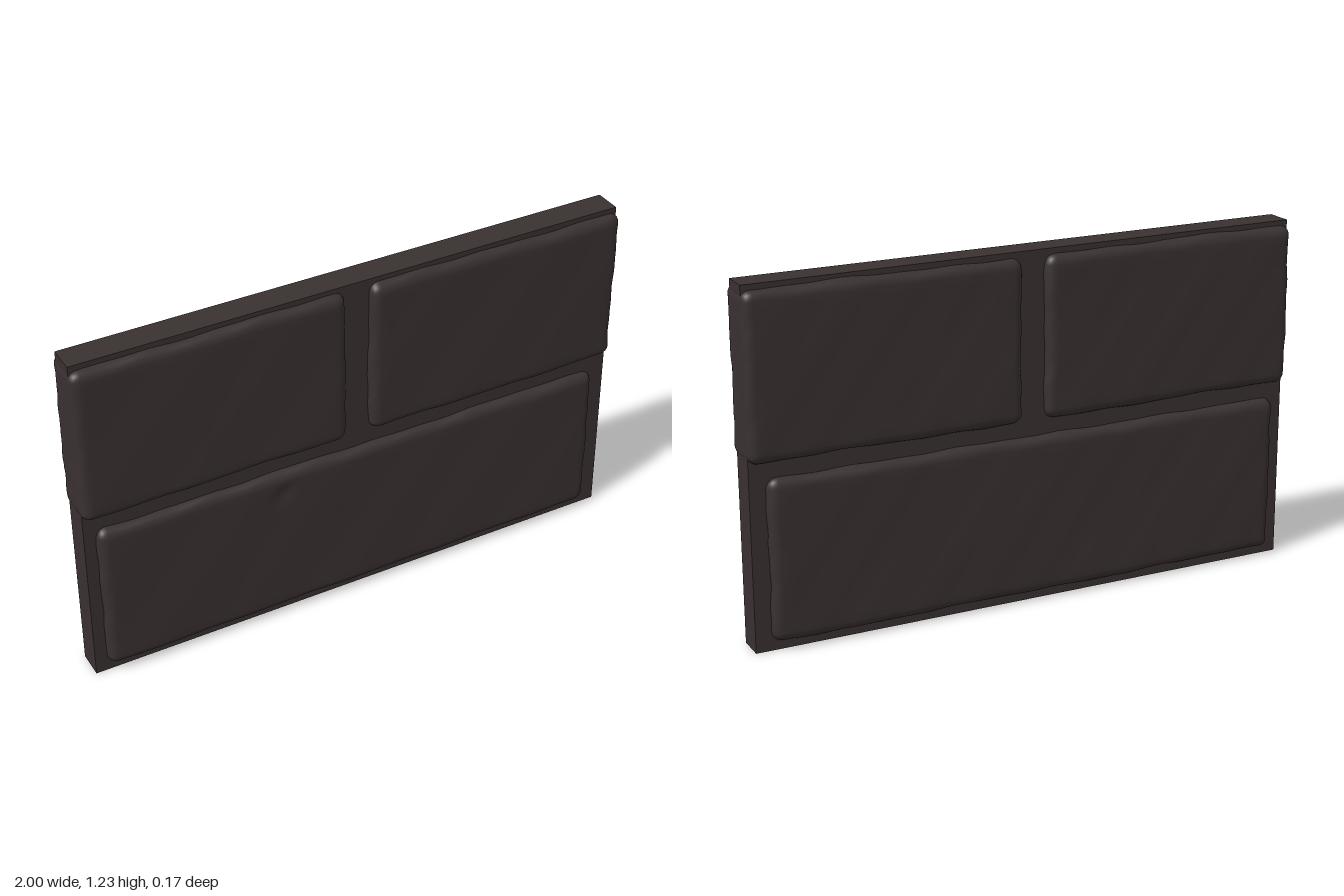
import * as THREE from 'three';
import { mergeVertices } from 'three/addons/utils/BufferGeometryUtils.js';

const stone = new THREE.MeshStandardMaterial({ color: 0x3a3131 });
stone.name = 'darkStone';

const ROUND = 0.035; // edge radius of the bricks
const RINGS = 3; // grid lines spent on each rounded edge

// Position of grid line i of n, with extra lines packed into the rounded edges
function gridPosition(i, n, half) {
  if (i <= RINGS) return -half + (ROUND * i) / RINGS;
  if (i >= n - RINGS) return half - (ROUND * (n - i)) / RINGS;
  const flat = 2 * (half - ROUND);
  return -half + ROUND + (flat * (i - RINGS)) / (n - 2 * RINGS);
}

// Smooth, repeatable unevenness between about -1 and 1
function wave(a, b, seed) {
  return (
    Math.sin(a * 7.3 + seed) * Math.cos(b * 8.9 + seed * 1.7) * 0.5 +
    Math.sin(a * 17.1 - b * 13.7 + seed * 2.3) * 0.3 +
    Math.sin(a * 31.7 + b * 23.3 + seed * 0.7) * 0.2
  );
}

// Worn brick spanning x0..x1 and y0..y1, bulging out of both faces of the wall
function makeBrick(name, x0, x1, y0, y1, seed, chip) {
  const half = [(x1 - x0) / 2, (y1 - y0) / 2, 0.081];
  const count = [Math.round((x1 - x0) / 0.03) + 6, Math.round((y1 - y0) / 0.03) + 6, 9];
  const source = new THREE.BoxGeometry(1, 1, 1, ...count);
  source.deleteAttribute('normal');
  source.deleteAttribute('uv');
  const geometry = mergeVertices(source);
  const pos = geometry.attributes.position;
  const p = new THREE.Vector3();
  const core = new THREE.Vector3();
  for (let v = 0; v < pos.count; v++) {
    p.fromBufferAttribute(pos, v);
    for (let k = 0; k < 3; k++) {
      const i = Math.round((p.getComponent(k) + 0.5) * count[k]);
      const c = gridPosition(i, count[k], half[k]);
      const limit = half[k] - ROUND;
      p.setComponent(k, c);
      core.setComponent(k, THREE.MathUtils.clamp(c, -limit, limit));
    }
    // round the edges and corners
    p.sub(core).setLength(ROUND).add(core);
    // wavy outline and uneven faces
    const side = Math.sign(p.z);
    const { x, y, z } = p;
    p.x += 0.005 * wave(y * 2, z * 3, seed + 1) * Math.abs(x / half[0]) ** 6;
    p.y += 0.006 * wave(x, z * 3, seed + 2) * Math.abs(y / half[1]) ** 6;
    p.z += 0.003 * side * wave(x, y, seed + side);
    p.x += (x0 + x1) / 2;
    p.y += (y0 + y1) / 2;
    // small chip knocked out of the front face
    if (chip && p.z > 0.05) {
      const d = Math.hypot((p.x - chip[0]) / 0.035, (p.y - chip[1]) / 0.045);
      p.z -= 0.014 * Math.max(0, 1 - d);
    }
    p.x = THREE.MathUtils.clamp(p.x, -1, 1);
    pos.setXYZ(v, p.x, p.y, p.z);
  }
  geometry.computeVertexNormals();
  const mesh = new THREE.Mesh(geometry, stone);
  mesh.name = name;
  return mesh;
}

export function createModel() {
  const wall = new THREE.Group();
  wall.name = 'brickWall';

  // flat mortar core
  const core = new THREE.Mesh(new THREE.BoxGeometry(1.994, 1.23, 0.098), stone);
  core.name = 'mortarCore';
  core.position.y = 0.615;
  wall.add(core);

  // one long brick below, two half bricks above
  wall.add(
    makeBrick('lowerBrick', -0.955, 0.94, 0.03, 0.592, 1.3, [-0.295, 0.51]),
    makeBrick('upperRightBrick', -1.002, -0.05, 0.648, 1.212, 4.1),
    makeBrick('upperLeftBrick', 0.038, 1.002, 0.648, 1.212, 7.7)
  );
  return wall;
}
